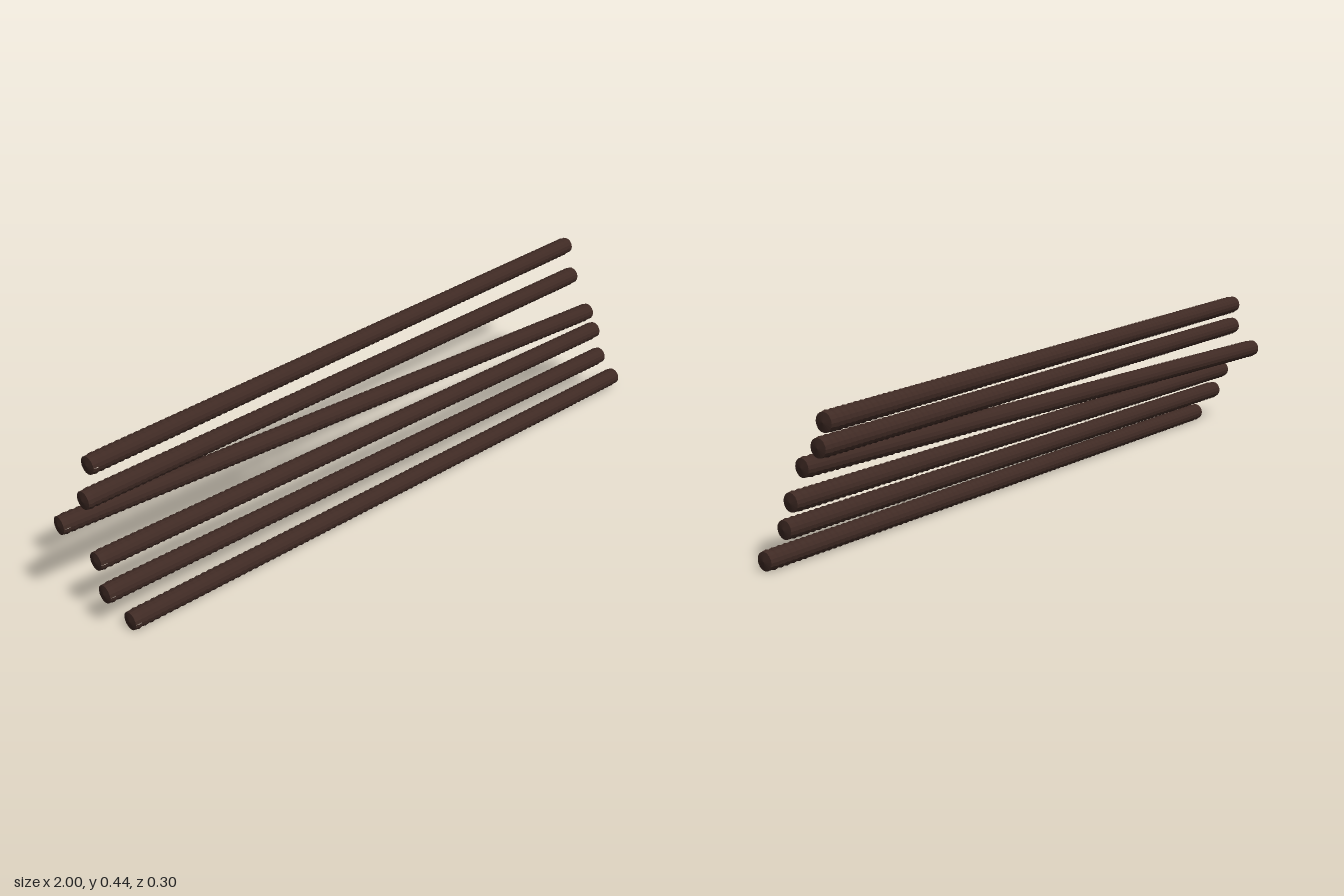
import * as THREE from 'three';

const CREST = 0.0272, ROOT = 0.0248, SIDES = 16, TURNS = 96;

// Threaded bar along x: alternate rings are crests and roots, skewed into a helix
function threadedRod(length) {
  const rings = TURNS * 2, pitch = length / TURNS, half = length / 2;
  const geo = new THREE.CylinderGeometry(ROOT, ROOT, length, SIDES, rings);
  const pos = geo.attributes.position, uv = geo.attributes.uv;
  const sideCount = (SIDES + 1) * (rings + 1);
  for (let i = 0; i < pos.count; i++) {
    let x = pos.getX(i), y = pos.getY(i), z = pos.getZ(i);
    if (i < sideCount) {
      const ring = Math.floor(i / (SIDES + 1));
      if (ring > 0 && ring < rings) {
        const k = ring % 2 ? 1 : CREST / ROOT;
        x *= k;
        z *= k;
        y = THREE.MathUtils.clamp(y + (uv.getX(i) - 0.5) * pitch, -half, half);
      }
    } else if (Math.hypot(x, z) < 1e-6) {
      y += Math.sign(y) * 0.004; // shallow cone on each end
    }
    pos.setXYZ(i, x, y, z);
  }
  geo.rotateZ(-Math.PI / 2);
  geo.computeVertexNormals();
  return geo;
}

export function createModel() {
  const group = new THREE.Group();
  group.name = 'threadedRods';
  const darkBrown = new THREE.MeshStandardMaterial({ color: 0x3f2a24, flatShading: true });
  darkBrown.name = 'darkBrown';

  // right end x, z and left end x, z, from the lowest rod up
  const ends = [
    [-0.93, 0.124, 0.99, 0.112],
    [-0.968, 0.08, 0.952, 0.079],
    [-0.962, 0.045, 0.958, 0.045],
    [-0.998, -0.048, 0.918, 0.044],
    [-0.955, 0.004, 0.964, -0.066],
    [-0.922, -0.015, 0.996, -0.123],
  ];
  const geo = threadedRod(1.914);
  ends.forEach(([x0, z0, x1, z1], i) => {
    const rod = new THREE.Mesh(geo, darkBrown);
    rod.name = `rod${i + 1}`;
    rod.position.set((x0 + x1) / 2, 0.0272 + i * 0.0772, (z0 + z1) / 2);
    rod.rotation.y = -Math.atan2(z1 - z0, x1 - x0);
    group.add(rod);
  });
  return group;
}
